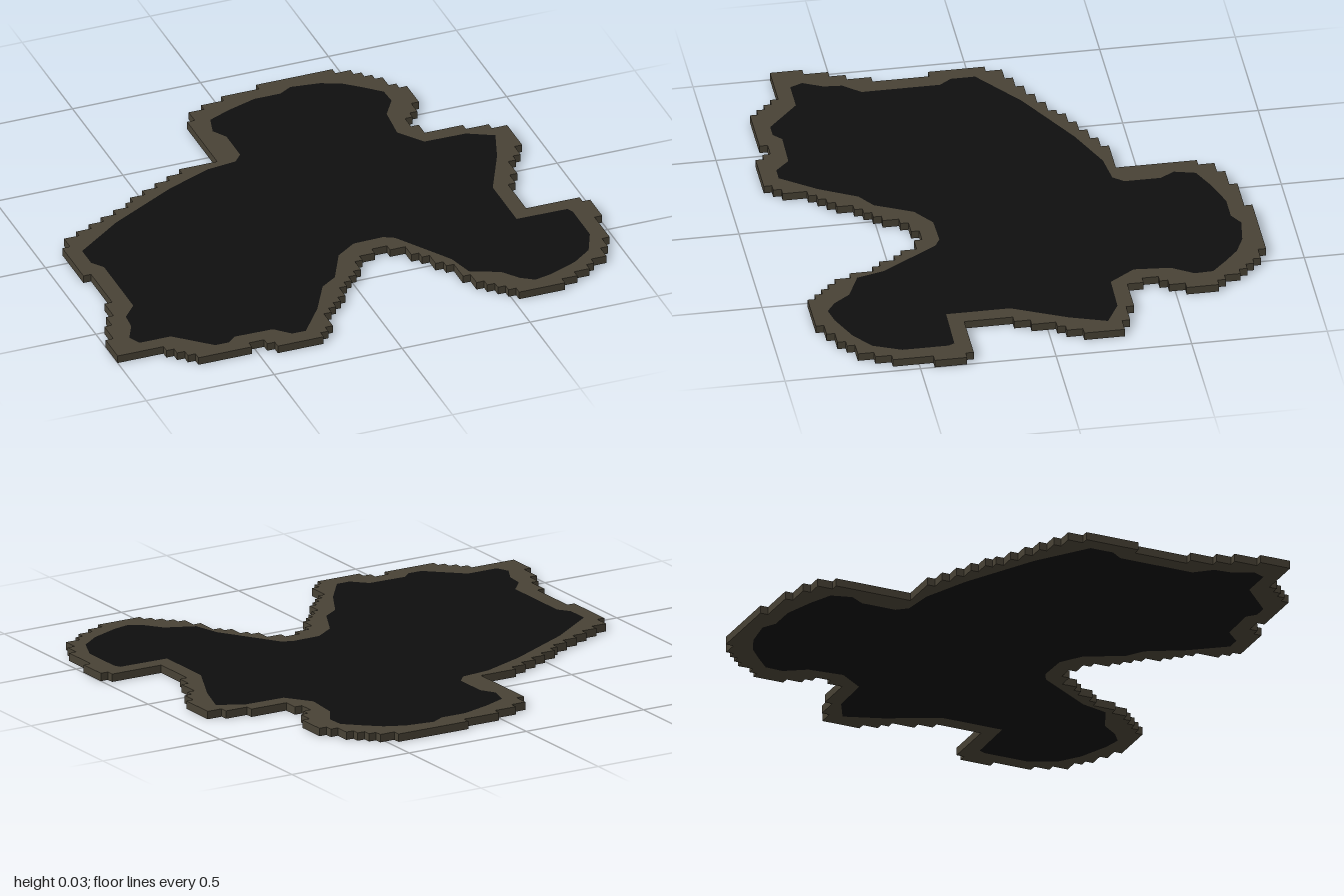
import * as THREE from 'three';

const CELL = 2 / 67, WIDTH = 67, DEPTH = 58, HEIGHT = 0.03;

// Corner points of the stepped outer edge, in cells (x right, z to the front)
const OUTER = [
  [39, 0], [49, 0], [49, 1], [52, 3], [55, 7], [56, 11], [53, 16], [54, 18], [59, 19], [62, 20],
  [64, 20], [64, 25], [62, 28], [60, 33], [59, 39], [66, 40], [67, 44], [66, 49], [64, 53], [57, 57],
  [51, 56], [49, 54], [47, 51], [46, 48], [42, 42], [40, 41], [38, 42], [36, 43], [35, 45], [28, 53],
  [27, 56], [25, 58], [19, 57], [18, 56], [16, 57], [9, 56], [6, 53], [0, 53], [0, 49], [3, 41],
  [4, 34], [3, 27], [4, 25], [6, 24], [23, 15], [28, 14], [28, 5], [29, 3], [31, 2], [34, 1],
];

// Smoother edge of the dark centre, in cells
const INNER = [
  [37.6, 3], [41, 3], [42.7, 2], [46.4, 2.5], [48.9, 3.6], [51, 5.4], [52.9, 7.2], [53, 9.5],
  [51.3, 12.2], [50.9, 16.7], [53.2, 19.9], [58.6, 20], [61.8, 21.7], [60.2, 26.3], [57, 33], [57, 40.9],
  [63.6, 41], [64, 41.8], [64, 47.5], [62.5, 50.9], [59.9, 52.9], [56.1, 54.5], [53.9, 55], [52.3, 53.9],
  [50.7, 51.8], [47.1, 50.2], [46.2, 46.8], [41.6, 39.6], [40.3, 38.9], [36.4, 39], [33.7, 40.9],
  [31.4, 45.5], [29.2, 47], [26.7, 51.6], [23.5, 55.9], [21.7, 55.9], [19.9, 54.1], [14.9, 54], [13.8, 55],
  [12, 55], [7.7, 51.1], [3.6, 51.1], [2.9, 49.5], [4.1, 47.1], [4.3, 44.8], [6.1, 42.7], [6.1, 33],
  [5, 31.5], [5, 28.5], [11.3, 23.8], [20.3, 18.8], [26.2, 16.3], [30.1, 15.8], [31.2, 14.5], [31.2, 10],
  [30.1, 8.2], [30.8, 5.6], [33.7, 4.3],
];

// Join the corner points with stairs, each step going sideways first
function stairs(points) {
  const out = [];
  points.forEach(([x0, z0], i) => {
    const [x1, z1] = points[(i + 1) % points.length];
    const dx = x1 - x0, dz = z1 - z0;
    const steps = Math.max(1, Math.min(Math.abs(dx), Math.abs(dz)));
    let z = z0;
    for (let s = 1; s <= steps; s++) {
      const x = x0 + Math.round(dx * s / steps);
      if (dx !== 0) out.push([x, z]);
      z = z0 + Math.round(dz * s / steps);
      if (dz !== 0) out.push([x, z]);
    }
  });
  return out;
}

const toPlan = (points) => points.map(([x, z]) =>
  new THREE.Vector2((x - WIDTH / 2) * CELL, (DEPTH / 2 - z) * CELL));

// Flat slab lying on the ground
function slab(name, shape, material) {
  const geometry = new THREE.ExtrudeGeometry(shape, { depth: HEIGHT, bevelEnabled: false });
  geometry.rotateX(-Math.PI / 2);
  const mesh = new THREE.Mesh(geometry, material);
  mesh.name = name;
  return mesh;
}

export function createModel() {
  const group = new THREE.Group();
  group.name = 'steppedPool';

  const stone = new THREE.MeshStandardMaterial({ color: 0x484235 });
  stone.name = 'brown stone';
  const dark = new THREE.MeshStandardMaterial({ color: 0x0e0e0e });
  dark.name = 'black';

  // Stepped rim with the centre cut out
  const rim = new THREE.Shape(toPlan(stairs(OUTER)));
  rim.holes.push(new THREE.Path(toPlan(INNER)));
  group.add(slab('rim', rim, stone));

  // Dark centre filling the rim
  group.add(slab('centre', new THREE.Shape(toPlan(INNER)), dark));
  return group;
}
